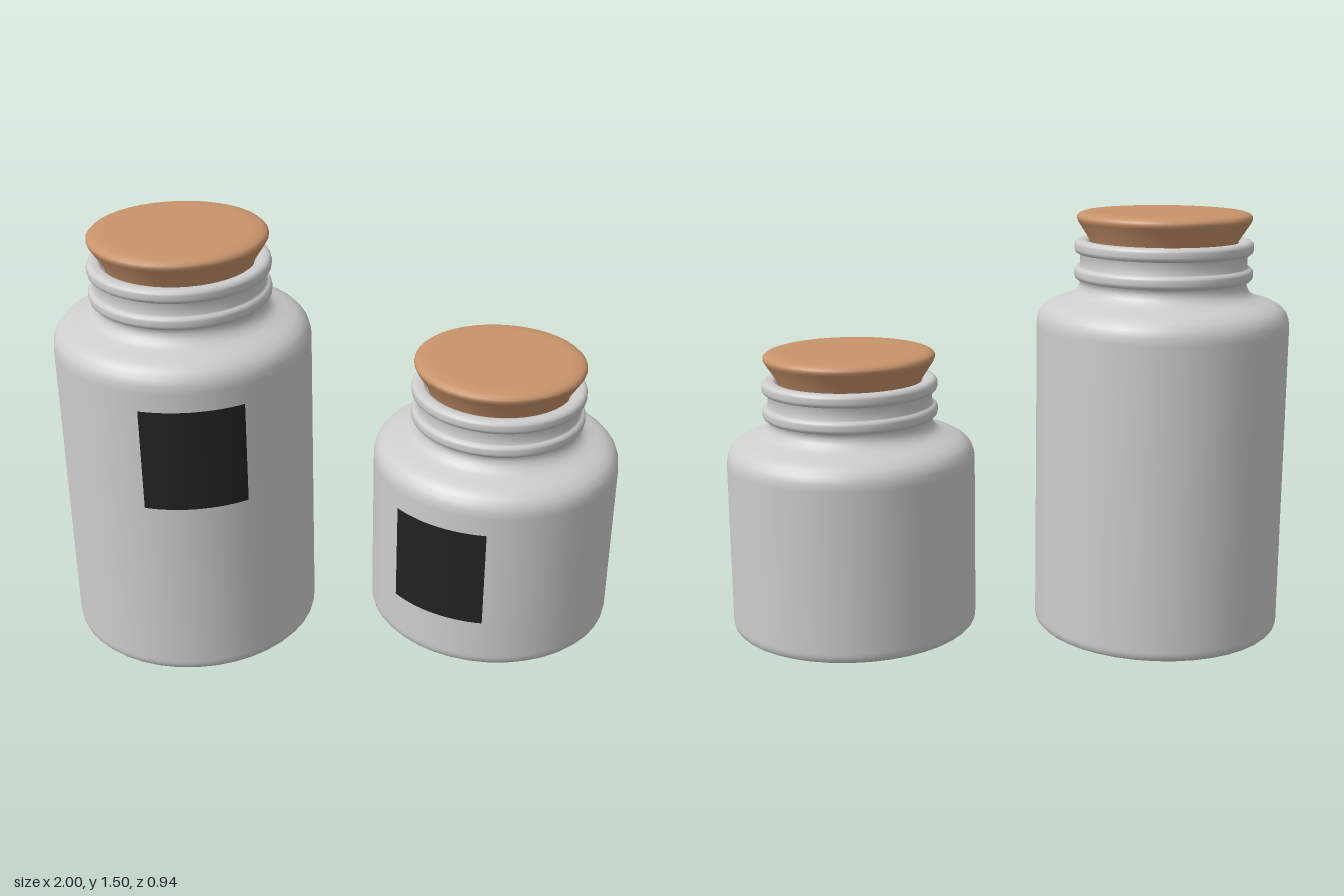
import * as THREE from 'three';

const SEGMENTS = 40;
const RADIUS = 0.445;

function material(name, color) {
  const m = new THREE.MeshStandardMaterial({ color });
  m.name = name;
  return m;
}

// Spin a bottom-to-top [radius, height] profile around the y axis
function lathe(name, profile, mat) {
  const points = profile.map(([r, y]) => new THREE.Vector2(r, y));
  const mesh = new THREE.Mesh(new THREE.LatheGeometry(points, SEGMENTS), mat);
  mesh.name = name;
  return mesh;
}

// One rounded ring of the threaded neck
function ring(y) {
  return [
    [0.293, y - 0.002], [0.304, y], [0.311, y + 0.007], [0.313, y + 0.015],
    [0.313, y + 0.03], [0.311, y + 0.037], [0.304, y + 0.044], [0.293, y + 0.046],
  ];
}

// h is the height of the whole jar including its stopper
function createJar(name, h, label, mats) {
  const jar = new THREE.Group();
  jar.name = name;

  // Body, shoulder, two neck rings and the open mouth
  jar.add(lathe('jarBody', [
    [0, 0], [0.415, 0], [0.42, 0.001], [0.434, 0.006], [0.442, 0.015], [RADIUS, 0.03],
    [RADIUS, 0.04], [RADIUS, h - 0.4], [0.443, h - 0.375], [0.435, h - 0.352],
    [0.418, h - 0.332], [0.393, h - 0.317], [0.36, h - 0.306], [0.33, h - 0.297],
    [0.311, h - 0.286], [0.299, h - 0.272], [0.293, h - 0.257],
    ...ring(h - 0.237), ...ring(h - 0.145),
    [0.275, h - 0.1], [0.265, h - 0.104], [0.262, h - 0.115], [0.255, h - 0.18], [0, h - 0.18],
  ], mats.glaze));

  // Tapered stopper with a rounded top edge
  jar.add(lathe('stopper', [
    [0, h - 0.16], [0.24, h - 0.16], [0.243, h - 0.157], [0.26, h - 0.1],
    [0.301, h - 0.036], [0.306, h - 0.025], [0.305, h - 0.016], [0.297, h - 0.008],
    [0.282, h - 0.003], [0.26, h - 0.001], [0.24, h], [0, h],
  ], mats.cork));

  // Label wrapped around the front of the body
  const height = 0.365;
  const plate = new THREE.Mesh(
    new THREE.CylinderGeometry(RADIUS + 0.003, RADIUS + 0.003, height, 16, 1, true, label.angle - 0.4, 0.8),
    mats.label
  );
  plate.name = 'label';
  plate.position.y = label.y;
  jar.add(plate);
  return jar;
}

export function createModel() {
  const mats = {
    glaze: material('pale grey glaze', 0xcdcdce),
    cork: material('cork', 0xc8936a),
    label: material('black label', 0x222222),
  };
  mats.label.side = THREE.DoubleSide;

  const model = new THREE.Group();
  model.name = 'storageJars';

  const tall = createJar('tallJar', 1.505, { angle: 0.079, y: 0.858 }, mats);
  tall.position.set(-0.555, 0, -0.027);

  const short = createJar('shortJar', 1.015, { angle: -0.625, y: 0.368 }, mats);
  short.position.set(0.555, 0, 0.027);

  model.add(tall, short);
  return model;
}
